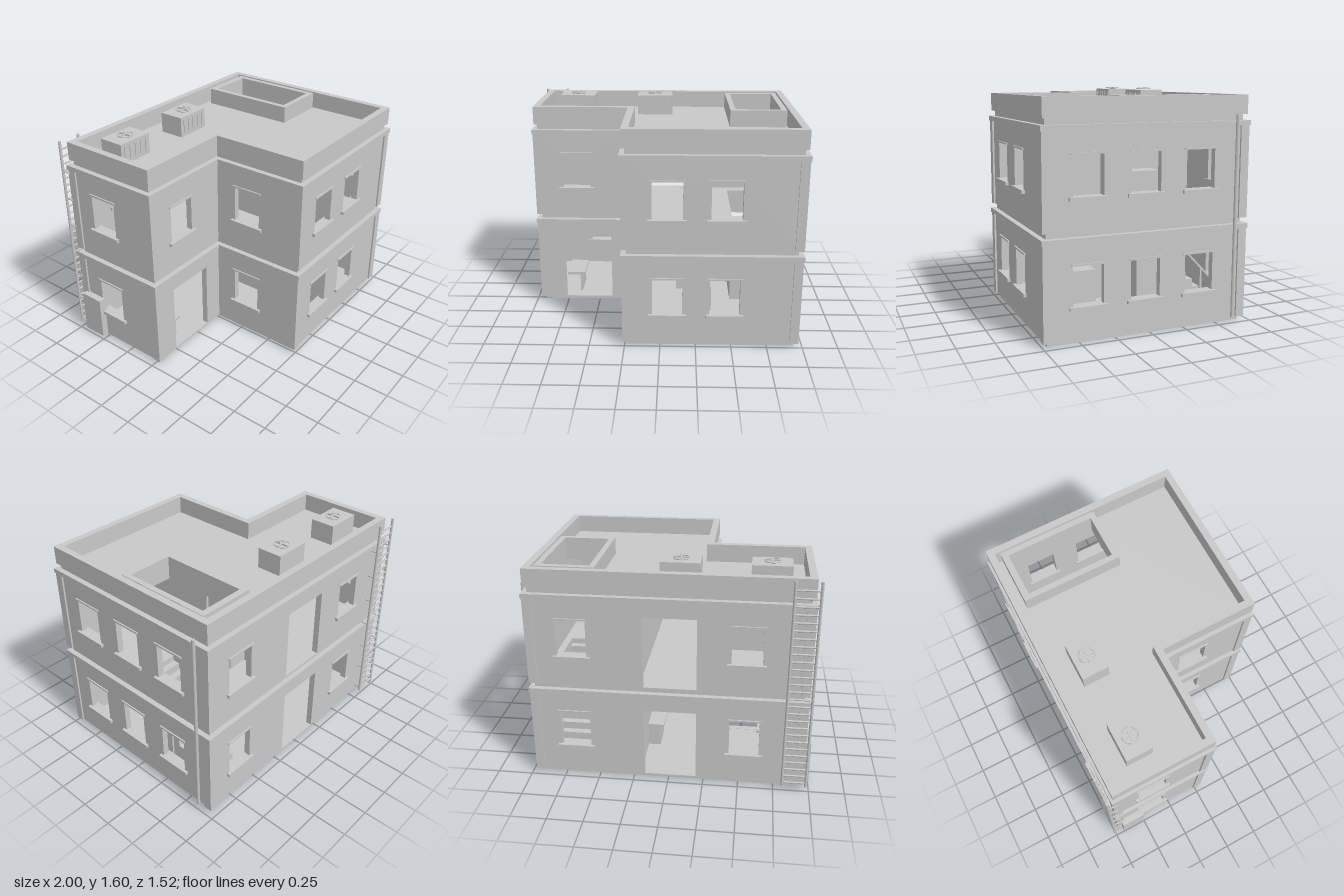
import * as THREE from 'three';

const concrete = new THREE.MeshStandardMaterial({ color: 0xc9c9c9 });
concrete.name = 'concrete grey';

// Corners of the L-shaped footprint moved inwards by d, as [x, z]
const footprint = (d) => [
  [-0.963 + d, -0.715 + d], [0.972 - d, -0.715 + d], [0.972 - d, 0.749 - d],
  [-0.263 + d, 0.749 - d], [-0.263 + d, 0.045 - d], [-0.963 + d, 0.045 - d],
];
const rectangle = (x0, z0, x1, z1) => [[x0, z0], [x1, z0], [x1, z1], [x0, z1]];
// Plan points to counter-clockwise shape points
const toVectors = (pts) => pts.map(([x, z]) => new THREE.Vector2(x, -z)).reverse();

function add(parent, name, geometry) {
  const mesh = new THREE.Mesh(geometry, concrete);
  mesh.name = name;
  parent.add(mesh);
  return mesh;
}

function box(parent, name, x0, x1, y0, y1, z0, z1) {
  const mesh = add(parent, name, new THREE.BoxGeometry(x1 - x0, y1 - y0, z1 - z0));
  mesh.position.set((x0 + x1) / 2, (y0 + y1) / 2, (z0 + z1) / 2);
  return mesh;
}

// Flat plan outline raised from y0 to y1, with optional holes
function slab(parent, name, outline, y0, y1, ...holes) {
  const shape = new THREE.Shape(toVectors(outline));
  for (const h of holes) shape.holes.push(new THREE.Path(toVectors(h)));
  const g = new THREE.ExtrudeGeometry(shape, { depth: y1 - y0, bevelEnabled: false });
  g.rotateX(-Math.PI / 2);
  add(parent, name, g).position.y = y0;
}

function rod(parent, name, x, y, z, length, r, axis = 'y') {
  const g = new THREE.CylinderGeometry(r, r, length, 8);
  if (axis === 'x') g.rotateZ(Math.PI / 2);
  if (axis === 'z') g.rotateX(Math.PI / 2);
  add(parent, name, g).position.set(x, y, z);
}

const WALL = 0.045, STOREY = 0.66, WIN = 0.21, SILL = 0.215, HEAD = 0.478;

// Wall facing the given angle; u runs to the right as seen from outside
function wall(parent, name, angle, distance, u0, u1, base, windows, doors = []) {
  const side = new THREE.Group();
  side.name = name;
  side.rotation.y = angle;
  side.position.y = base;
  parent.add(side);
  const rect = (T, a, b, c, d) => new T(toVectors(rectangle(a, -d, c, -b)));
  const shape = rect(THREE.Shape, u0, 0, u1, STOREY);
  for (const u of windows) shape.holes.push(rect(THREE.Path, u, SILL, u + WIN, HEAD));
  for (const [a, b] of doors) shape.holes.push(rect(THREE.Path, a, 0.004, b, 0.52));
  const g = new THREE.ExtrudeGeometry(shape, { depth: WALL, bevelEnabled: false });
  add(side, 'wallPanel', g).position.z = distance - WALL;
  for (const u of windows) {
    box(side, 'windowSill', u - 0.027, u + WIN + 0.027, SILL - 0.024, SILL, distance - 0.06, distance + 0.022);
    box(side, 'windowLintel', u - 0.015, u + WIN + 0.015, HEAD, HEAD + 0.012, distance - 0.01, distance + 0.01);
  }
}

function storey(parent, name, base, upper) {
  const g = new THREE.Group();
  g.name = name;
  parent.add(g);
  const q = Math.PI / 2;
  wall(g, 'frontWall', 0, 0.736, -0.25, 0.959, base, [-0.055, 0.343]);
  wall(g, 'wingFrontWall', 0, 0.032, -0.95, -0.22, base, upper ? [-0.755] : [], upper ? [] : [[-0.765, -0.398]]);
  wall(g, 'leftSideWall', q, 0.959, -0.736, 0.702, base, [-0.545, -0.147, 0.251]);
  wall(g, 'backWall', 2 * q, 0.702, -0.959, 0.95, base, [-0.765, 0.428], [[-0.172, 0.197]]);
  wall(g, 'rightSideWall', -q, 0.95, -0.702, 0.032, base, [-0.517]);
  wall(g, 'recessWall', -q, 0.25, 0.0, 0.736, base, [0.187]);

  // Raised corner trims and top band
  const w = 0.062;
  for (const [x, z, sx, sz] of [[-0.963, -0.715, 1, 1], [0.972, -0.715, -1, 1], [0.972, 0.749, -1, -1],
    [-0.263, 0.749, 1, -1], [-0.963, 0.045, 1, -1]])
    box(g, 'cornerTrim', Math.min(x, x + sx * w), Math.max(x, x + sx * w), base, base + STOREY - 0.03,
      Math.min(z, z + sz * w), Math.max(z, z + sz * w));
  slab(g, 'topBand', footprint(-0.006), base + STOREY - 0.034, base + STOREY, footprint(0.05));
  box(g, 'partition', 0.2, 0.22, base, base + STOREY, -0.68, 0.7);
}

export function createModel() {
  const model = new THREE.Group();
  model.name = 'building';
  const well = rectangle(0.532, -0.575, 0.862, 0.06);

  // Floors and storeys
  slab(model, 'foundation', footprint(0.032), 0, 0.032);
  storey(model, 'groundStorey', 0.03, false);
  slab(model, 'upperFloor', footprint(0.032), 0.688, 0.732, well);
  storey(model, 'upperStorey', 0.73, true);
  slab(model, 'roof', footprint(0.032), 1.388, 1.432, well);
  slab(model, 'parapet', footprint(0.01), 1.43, 1.56, footprint(0.06));
  slab(model, 'stairwellCurb', rectangle(0.492, -0.62, 0.902, 0.1), 1.43, 1.555, well);

  // Solid stairs with handrails
  const n = 12, run = 0.635 / n, rise = 0.66 / n;
  for (let i = 0; i < n; i++) {
    const z = -0.575 + i * run;
    box(model, 'stairStep', 0.532, 0.862, 0.03, 0.03 + (i + 1) * rise, z, z + run);
  }
  for (const x of [0.52, 0.874]) {
    const rail = box(model, 'handrail', x - 0.007, x + 0.007, -0.007, 0.007, -0.22, 0.22);
    rail.position.set(x, 0.475, -0.33);
    rail.rotation.x = -Math.atan2(rise, run);
    for (const z of [-0.42, -0.255])
      box(model, 'handrailPost', x - 0.007, x + 0.007, 0.03, 0.475 + (z + 0.33) * rise / run, z - 0.007, z + 0.007);
  }

  // Interior furniture
  box(model, 'deskTop', -0.765, -0.625, 0.18, 0.2, -0.3, -0.05);
  box(model, 'deskLeg', -0.665, -0.65, 0.03, 0.18, -0.28, -0.07);
  box(model, 'counterTop', 0.08, 0.2, 0.2, 0.22, -0.33, -0.1);
  box(model, 'counterBody', 0.11, 0.2, 0.03, 0.2, -0.31, -0.12);
  box(model, 'lowerCabinet', 0.22, 0.37, 0.03, 0.3, 0.15, 0.4);
  box(model, 'upperCabinet', 0.22, 0.37, 0.73, 1.0, -0.355, -0.005);
  box(model, 'upperDoorPost', 0.22, 0.24, 0.73, 1.2, -0.005, 0.05);

  // Rooftop ventilation units
  for (const x of [-0.67, -0.065]) {
    const unit = new THREE.Group();
    unit.name = 'ventUnit';
    unit.position.set(x, 1.43, -0.432);
    model.add(unit);
    box(unit, 'ventBody', -0.135, 0.135, 0, 0.15, -0.095, 0.092);
    for (let i = 0; i < 5; i++) {
      const s = -0.1 + i * 0.05;
      box(unit, 'ventSlat', s - 0.006, s + 0.006, 0.03, 0.13, 0.088, 0.097);
    }
    const ring = add(unit, 'fanRing', new THREE.TorusGeometry(0.053, 0.004, 6, 24));
    ring.rotation.x = Math.PI / 2;
    ring.position.y = 0.158;
    box(unit, 'fanBlade', -0.052, 0.052, 0.156, 0.166, -0.005, 0.005);
    box(unit, 'fanBlade', -0.005, 0.005, 0.156, 0.166, -0.052, 0.052);
  }

  // Back ladder
  for (const x of [-0.977, -0.812]) {
    rod(model, 'ladderStile', x, 0.8, -0.752, 1.52, 0.01);
    for (let i = 0; i < 7; i++) rod(model, 'ladderBracket', x, 0.07 + i * 0.2117, -0.72, 0.06, 0.006, 'z');
  }
  for (let i = 0; i < 27; i++) rod(model, 'ladderRung', -0.8945, 0.07 + i * 0.055, -0.752, 0.165, 0.007, 'x');

  // Drainpipe and utility cabinet
  rod(model, 'drainpipe', 0.987, 0.735, -0.613, 1.39, 0.012);
  box(model, 'utilityCabinet', -1.0, -0.94, 0.03, 0.35, -0.68, -0.5);
  return model;
}
